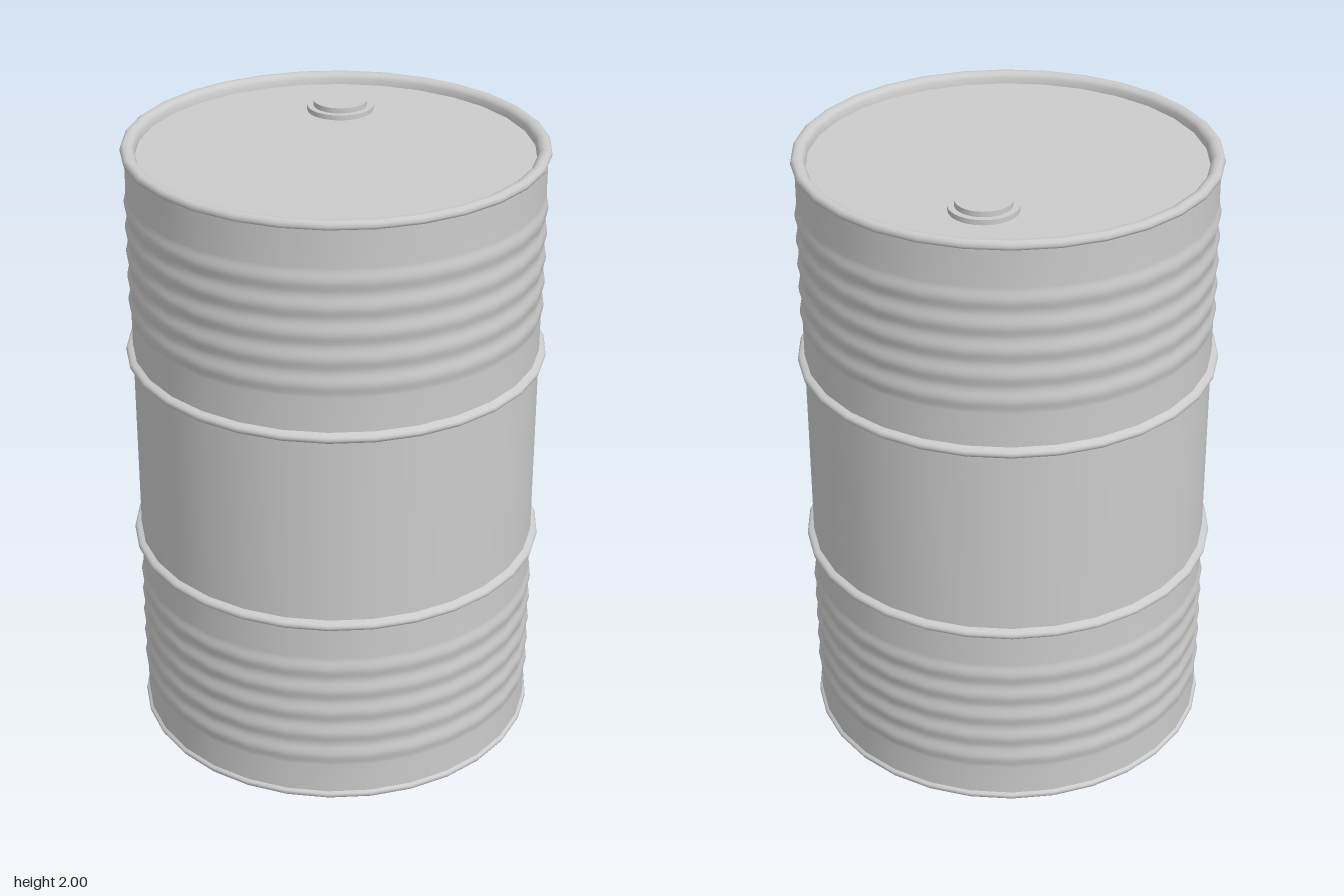
import * as THREE from 'three';

const SIDES = 30;
const R = 0.647; // drum wall radius

export function createModel() {
  const drum = new THREE.Group();
  drum.name = 'drum';
  const material = new THREE.MeshStandardMaterial({ color: 0xcccccc });

  // Turns a profile of [radius, height] pairs, listed upward on the outside
  const lathe = (name, profile, sides = SIDES) => {
    const points = profile.map(([r, y]) => new THREE.Vector2(r, y));
    const mesh = new THREE.Mesh(new THREE.LatheGeometry(points, sides), material);
    mesh.name = name;
    drum.add(mesh);
    return mesh;
  };

  // Wall with two bands of five shallow rolled ribs
  const wall = [[R, 0.01], [R, 0.08]];
  const pitch = 0.082;
  const addRibs = (start) => {
    for (let i = 0; i <= 40; i++) {
      const wave = (1 - Math.cos((i / 8) * Math.PI * 2)) / 2;
      wall.push([R + 0.007 * wave, start + (i / 8) * pitch]);
    }
  };
  addRibs(0.125);
  wall.push([R, 0.62], [R, 1.36]);
  addRibs(1.445);
  wall.push([R, 1.92], [R, 1.985]);
  lathe('wall', wall);

  // Rolling hoops
  for (const [name, y] of [['lowerHoop', 0.66], ['upperHoop', 1.315]]) {
    const hoop = [[R - 0.002, y - 0.018]];
    for (let i = 0; i <= 6; i++) {
      const a = (i / 6 - 0.5) * Math.PI;
      hoop.push([R + 0.006 + 0.016 * Math.cos(a), y + 0.014 * Math.sin(a)]);
    }
    hoop.push([R - 0.002, y + 0.018]);
    lathe(name, hoop);
  }

  // Rounded top rim, rolled over to the recessed lid
  lathe('topRim', [
    [R - 0.002, 1.972], [0.656, 1.976], [0.659, 1.984], [0.656, 1.994], [0.648, 2.0],
    [0.634, 2.0], [0.623, 1.994], [0.616, 1.984], [0.614, 1.965],
  ]);
  lathe('lid', [[0.62, 1.965], [0, 1.965]]);

  // Bottom rim and base
  lathe('bottomRim', [[0.64, 0], [0.652, 0.002], [0.657, 0.01], [0.655, 0.018], [R - 0.002, 0.024]]);
  lathe('base', [[0, 0], [0.641, 0]]);

  // Stepped filler cap near the back of the lid
  const addCap = (name, r, bottom, top) => {
    const cap = new THREE.Mesh(new THREE.CylinderGeometry(r, r, top - bottom, 40), material);
    cap.name = name;
    cap.position.set(0, (bottom + top) / 2, -0.37);
    drum.add(cap);
  };
  addCap('capFlange', 0.106, 1.96, 1.981);
  addCap('capTop', 0.086, 1.975, 1.998);

  return drum;
}
